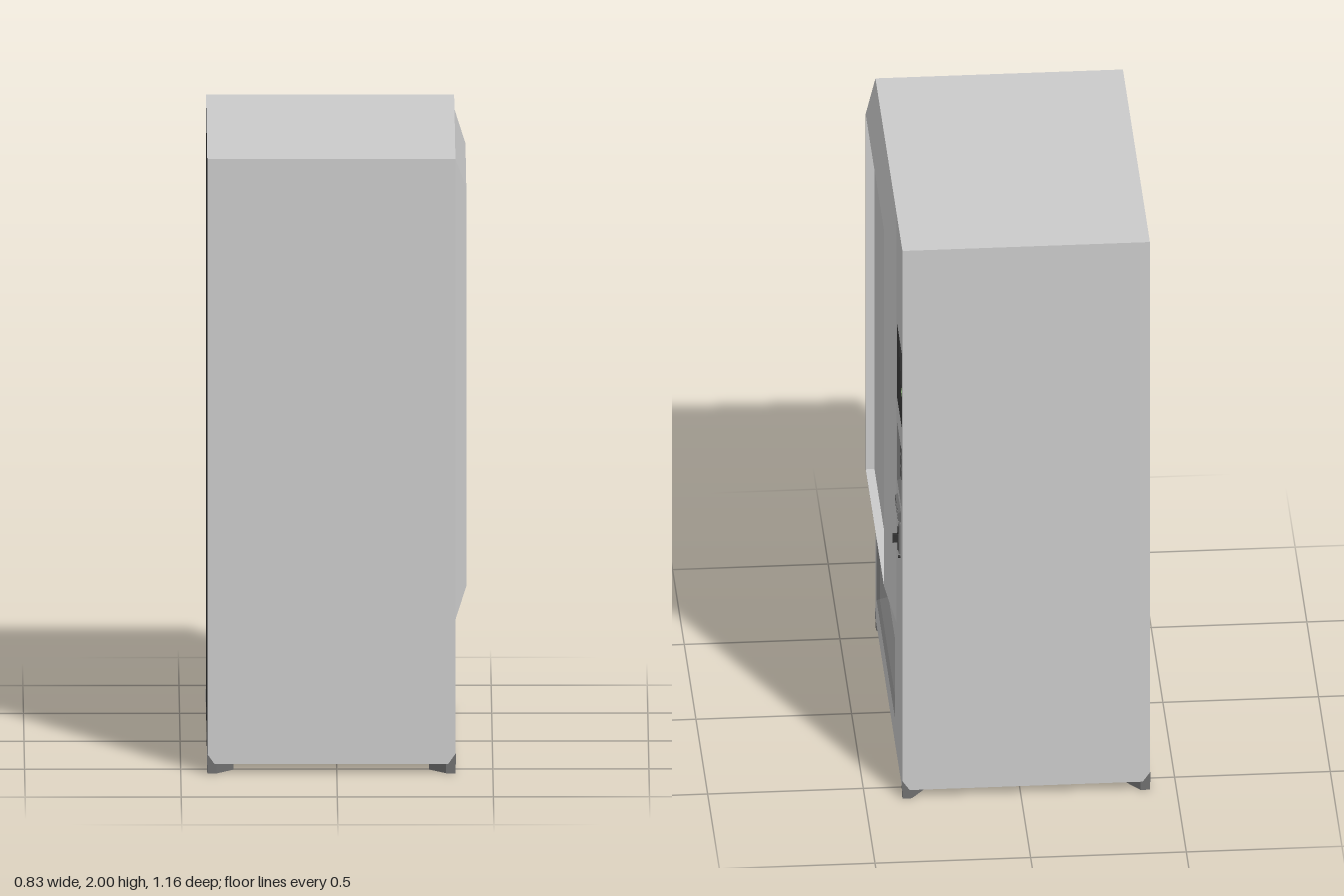
import * as THREE from 'three';
import { ConvexGeometry } from 'three/addons/geometries/ConvexGeometry.js';

const mat = (color, side = THREE.FrontSide) => new THREE.MeshStandardMaterial({ color, side, flatShading: true });
const GREY = mat(0xcccccc), MID = mat(0x707070), DARK = mat(0x333333), BLACK = mat(0x1c1c1c), GREEN = mat(0xccffb3);

// Cabinet limits; the service face looks toward +x
const X0 = -0.415, X1 = 0.38, Z = 0.577, BASE = 0.03, TOP = 2, FLOOR = 0.05, JOIN = 0.08;

function add(parent, name, geometry, material, x = 0, y = 0, z = 0) {
  const mesh = new THREE.Mesh(geometry, material);
  mesh.name = name;
  mesh.position.set(x, y, z);
  parent.add(mesh);
  return mesh;
}

// Box given by its limits
function block(parent, name, material, x0, x1, y0, y1, z0, z1) {
  return add(parent, name, new THREE.BoxGeometry(x1 - x0, y1 - y0, z1 - z0), material,
    (x0 + x1) / 2, (y0 + y1) / 2, (z0 + z1) / 2);
}

function rect(Type, u0, u1, v0, v1) {
  return new Type([[u0, v0], [u1, v0], [u1, v1], [u0, v1]].map(p => new THREE.Vector2(...p)));
}

// Walls through rectangular loops [u0, u1, v0, v1, depthBottom, depthTop], outer to inner
function loft(loops, cap) {
  const pos = [];
  const rings = loops.map(([u0, u1, v0, v1, w0, w1 = w0]) =>
    [[u0, v0, w0], [u1, v0, w0], [u1, v1, w1], [u0, v1, w1]]);
  const quad = (a, b, c, d) => pos.push(...a, ...b, ...c, ...a, ...c, ...d);
  for (let k = 0; k + 1 < rings.length; k++) {
    const a = rings[k], b = rings[k + 1];
    for (let i = 0; i < 4; i++) quad(a[i], a[(i + 1) % 4], b[(i + 1) % 4], b[i]);
  }
  if (cap) quad(...rings[rings.length - 1]);
  const g = new THREE.BufferGeometry();
  g.setAttribute('position', new THREE.Float32BufferAttribute(pos, 3));
  g.computeVertexNormals();
  return g;
}

export function createModel() {
  const model = new THREE.Group();
  model.name = 'vendingMachine';

  // Cabinet core with dark back and underside
  block(model, 'cabinet', [GREY, DARK, GREY, DARK, GREY, GREY], X0, JOIN, FLOOR, TOP, -Z, Z);

  // Skirt ring under the cabinet and recessed underside
  const ring = rect(THREE.Shape, X0, X1, -Z, Z);
  ring.holes.push(rect(THREE.Path, X0 + 0.05, X1 - 0.05, -Z + 0.05, Z - 0.05));
  const skirt = add(model, 'skirt',
    new THREE.ExtrudeGeometry(ring, { depth: FLOOR - BASE, bevelEnabled: false }), [DARK, GREY], 0, FLOOR, 0);
  skirt.rotation.x = Math.PI / 2;
  block(model, 'skirtBack', DARK, X0 - 0.0005, X0, BASE, FLOOR, -Z, Z);
  block(model, 'underside', BLACK, X0 + 0.01, X1 - 0.01, FLOOR - 0.006, FLOOR - 0.001, -Z + 0.01, Z - 0.01);

  // Corner brackets and diagonal feet
  for (const sx of [-1, 1]) for (const sz of [-1, 1]) {
    const hull = pts => new ConvexGeometry(pts.map(([a, y, b]) =>
      new THREE.Vector3(sx > 0 ? X1 - a : X0 + a, y, sz * (Z - b))));
    const e = -0.001;
    add(model, 'cornerBracket', hull([[e, 0.065, e], [e, 0.028, e], [0.025, 0.028, e], [e, 0.028, 0.025]]), MID);
    const plan = [[0, 0.03], [0, 0], [0.03, 0], [0.085, 0.07], [0.07, 0.1]];
    add(model, 'foot', hull(plan.flatMap(([a, b]) => [[a, 0, b], [a, BASE, b]])), MID);
  }

  // Service face: local x = -z, local z = x of the model
  const face = new THREE.Group();
  face.name = 'serviceFace';
  face.rotation.y = Math.PI / 2;
  model.add(face);

  const tray = [-0.53, 0.26, 0.12, 0.41];
  const screen = [0.34, 0.555, 1.34, 1.61];
  const pad = [0.35, 0.54, 1.04, 1.25];
  const panel = rect(THREE.Shape, -Z, Z, FLOOR, TOP);
  for (const r of [tray, screen, pad]) panel.holes.push(rect(THREE.Path, ...r));
  add(face, 'facePanel', new THREE.ExtrudeGeometry(panel, { depth: X1 - JOIN, bevelEnabled: false }), GREY, 0, 0, JOIN);

  // Raised window bezel with sunken pane
  add(face, 'windowBezel', loft([
    [-Z, 0.315, 0.5, TOP, X1],
    [-0.527, 0.255, 0.6, 1.9, 0.415],
    [-0.525, 0.253, 0.602, 1.898, 0.415]]), GREY);
  add(face, 'windowPane', loft([
    [-0.525, 0.253, 0.602, 1.898, 0.415],
    [-0.525, 0.253, 0.602, 1.898, 0.387]], true), GREY);

  // Delivery tray with sloping floor and hinged flap
  add(face, 'deliveryTray', loft([
    [...tray, X1],
    [-0.523, 0.253, 0.127, 0.403, 0.37],
    [-0.523, 0.253, 0.19, 0.403, 0.14]], true), MID);
  const flap = add(face, 'deliveryFlap', new THREE.BoxGeometry(0.774, 0.16, 0.006), MID, -0.135, 0.337, 0.325);
  flap.rotation.x = 0.595;

  // Display tilted back in its frame
  const glass = [0.355, 0.54, 1.365, 1.585];
  add(face, 'displayFrame', loft([
    [...screen, X1],
    [0.347, 0.548, 1.352, 1.598, X1 - 0.005],
    [...glass, X1 - 0.012, X1 - 0.055]]), DARK);
  add(face, 'display', loft([[...glass, X1 - 0.012, X1 - 0.055]], true), GREEN);

  // Keypad: 3 columns by 4 rows in a sunken surround
  const well = [0.36, 0.532, 1.053, 1.237];
  add(face, 'keypadSurround', loft([[...pad, X1], [...well, X1 - 0.02]]), MID);
  add(face, 'keypadBack', loft([[...well, X1 - 0.02]], true), BLACK);
  for (let c = 0; c < 3; c++) for (let r = 0; r < 4; r++) {
    add(face, 'key', new THREE.BoxGeometry(0.046, 0.032, 0.012), DARK,
      0.446 + (c - 1) * 0.056, 1.145 + (r - 1.5) * 0.044, X1 - 0.016);
  }

  // Card slot
  add(face, 'slotBezel', loft([
    [0.382, 0.512, 0.973, 1.01, X1],
    [0.386, 0.508, 0.977, 1.006, X1 + 0.009],
    [0.395, 0.499, 0.986, 0.998, X1 + 0.009]]), MID);
  add(face, 'slot', loft([[0.395, 0.499, 0.986, 0.998, X1 + 0.004]], true), BLACK);

  // Coin return plate, lever and lock pin
  add(face, 'returnPlate', loft([
    [0.467, 0.492, 0.845, 0.952, X1],
    [0.469, 0.49, 0.848, 0.949, X1 + 0.006]], true), MID);
  block(face, 'returnSlot', BLACK, 0.475, 0.484, 0.856, 0.94, X1, X1 + 0.008);
  block(face, 'returnLever', DARK, 0.474, 0.485, 0.885, 0.915, X1, X1 + 0.025);
  const pin = add(face, 'lockPin', new THREE.CylinderGeometry(0.005, 0.005, 0.008, 8), DARK, 0.48, 0.832, X1 + 0.003);
  pin.rotation.x = Math.PI / 2;

  return model;
}
